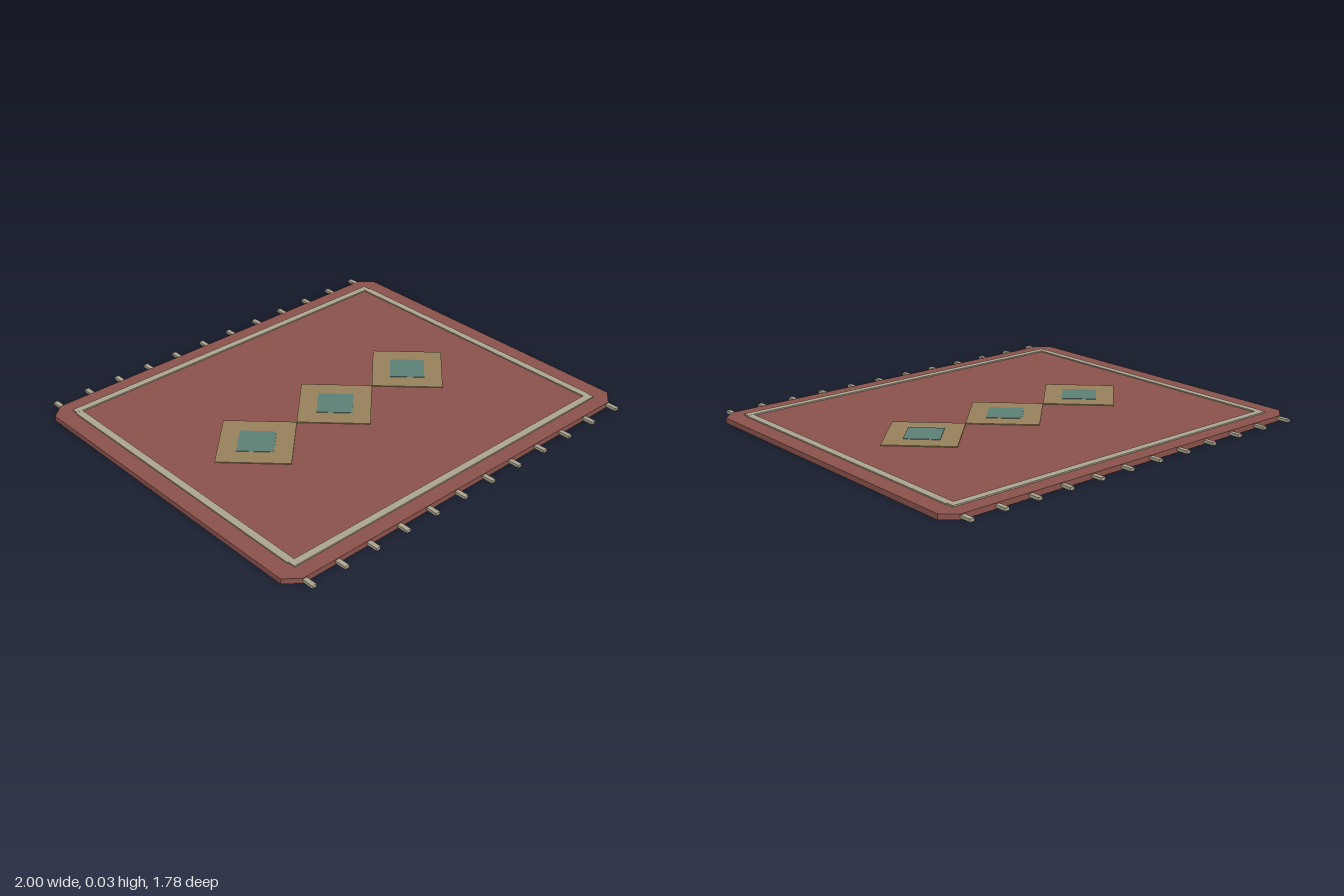
import * as THREE from 'three';

const mat = (color) => new THREE.MeshStandardMaterial({ color });

export function createModel() {
  const rug = new THREE.Group();
  rug.name = 'rug';
  const red = mat(0x8a524b), cream = mat(0xaaa48e), ochre = mat(0x96815a), teal = mat(0x5c7f75);

  const add = (name, geometry, material, x, y, z) => {
    const mesh = new THREE.Mesh(geometry, material);
    mesh.name = name;
    mesh.position.set(x, y, z);
    rug.add(mesh);
    return mesh;
  };

  // Flat outline in the ground plane, raised to a slab
  const slab = (points, height) => {
    const shape = new THREE.Shape(points.map(([x, z]) => new THREE.Vector2(x, z)));
    return new THREE.ExtrudeGeometry(shape, { depth: height, bevelEnabled: false }).rotateX(-Math.PI / 2);
  };

  // Woven body with clipped corners
  const w = 1, d = 0.836, cx = 0.935, cz = 0.78;
  add('body', slab([
    [-cx, -d], [cx, -d], [w, -cz], [w, cz], [cx, d], [-cx, d], [-w, cz], [-w, -cz],
  ], 0.025), red, 0, 0, 0);

  // Border bands
  for (const s of [-1, 1]) {
    add('borderLong', new THREE.BoxGeometry(1.83, 0.008, 0.035), cream, 0, 0.027, s * 0.747);
    add('borderShort', new THREE.BoxGeometry(0.035, 0.007, 1.46), cream, s * 0.903, 0.027, 0);
  }

  // Row of three diamonds, each with a smaller one inside
  const diamond = (r, h) => slab([[r, 0], [0, r], [-r, 0], [0, -r]], h);
  for (const i of [-1, 0, 1]) {
    add('diamond', diamond(0.234, 0.005), ochre, i * 0.467, 0.024, 0);
    add('diamondCentre', diamond(0.115, 0.005), teal, i * 0.467, 0.026, 0);
  }

  // Fringe tassels along both ends
  const count = 12;
  for (const s of [-1, 1]) {
    for (let i = 0; i < count; i++) {
      const x = -0.926 + (1.852 * i) / (count - 1);
      add('tassel', new THREE.BoxGeometry(0.022, 0.013, 0.07), cream, x, 0.0145, s * 0.856);
    }
  }
  return rug;
}
